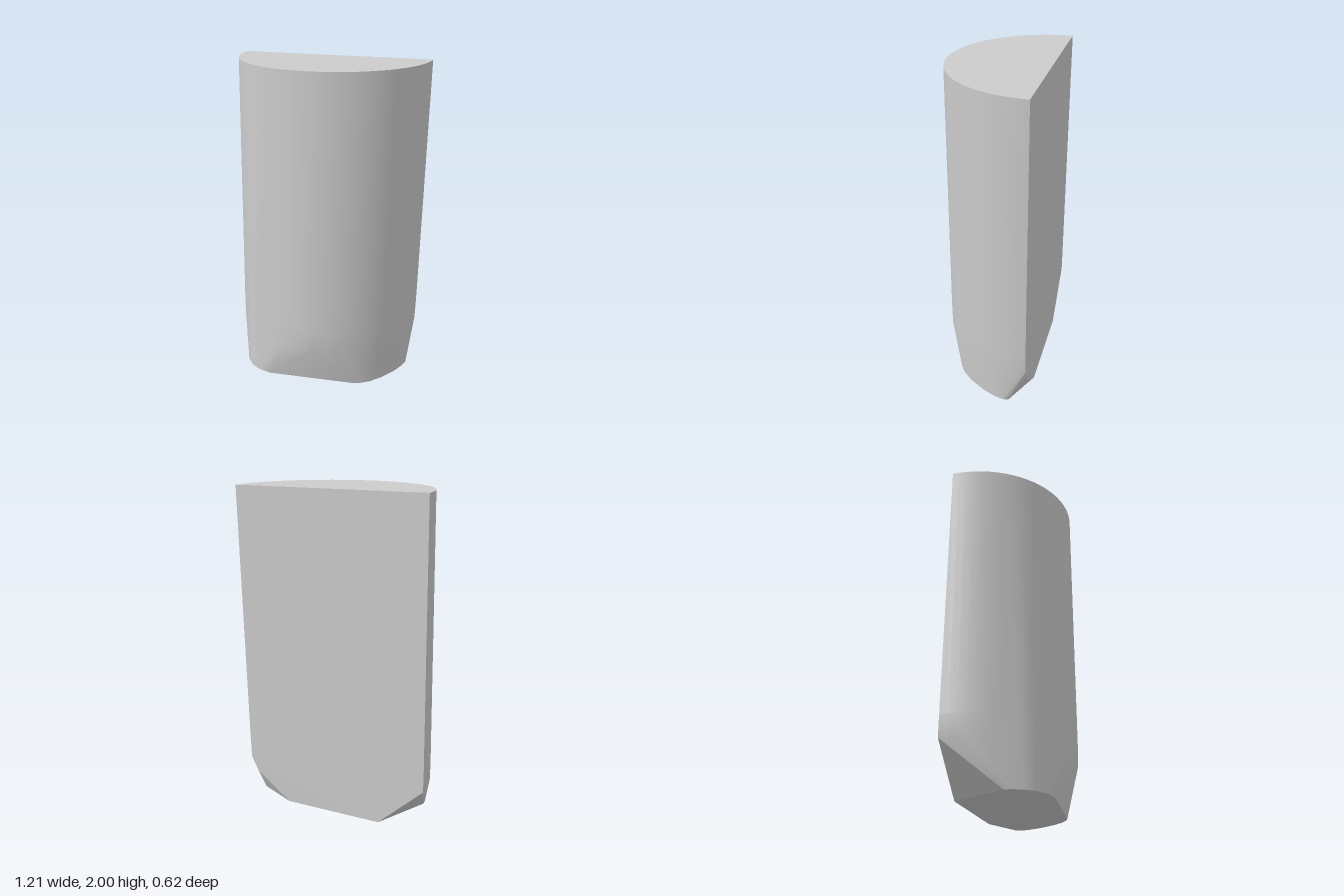
import * as THREE from 'three';
import { ConvexGeometry } from 'three/addons/geometries/ConvexGeometry.js';
import { mergeVertices, toCreasedNormals } from 'three/addons/utils/BufferGeometryUtils.js';

const BACK = -0.31; // plane of the flat back

// Half-round cross-section at height y, ending on the flat back
function halfRound(y, cx, cz, r, segments = 40) {
  const start = Math.asin((BACK - cz) / r);
  const points = [];
  for (let i = 0; i <= segments; i++) {
    const a = start + (Math.PI - 2 * start) * (i / segments);
    const z = i === 0 || i === segments ? BACK : cz + r * Math.sin(a);
    points.push(new THREE.Vector3(cx + r * Math.cos(a), y, z));
  }
  return points;
}

export function createModel() {
  const group = new THREE.Group();
  group.name = 'halfRoundPeg';

  // Foot outline (x, z): three straight cuts joined by rounded corners
  const foot = [
    [-0.32, BACK], [-0.5, 0.02], [-0.497, 0.06], [-0.475, 0.115], [-0.425, 0.175],
    [-0.36, 0.215], [-0.28, 0.235], [0.27, 0.19], [0.32, 0.173], [0.37, 0.14],
    [0.43, 0.075], [0.5, -0.03], [0.535, -0.11], [0.549, -0.165], [0.54, -0.2], [0.3, BACK],
  ].map(([x, z]) => new THREE.Vector3(x, 0, z));

  // Rounded edge of the cut on the back corner (x, y)
  const backCut = [[0.556, 0.23], [0.53, 0.18], [0.47, 0.128]]
    .map(([x, y]) => new THREE.Vector3(x, y, BACK));

  // The solid is convex, so its surface spans the slightly leaning sections
  let geometry = new ConvexGeometry([
    ...halfRound(2, 0.007, -0.295, 0.594),
    ...halfRound(0.4, -0.014, -0.281, 0.591),
    ...halfRound(0.27, -0.016, -0.28, 0.589),
    ...backCut,
    ...foot,
  ]);
  geometry.deleteAttribute('normal');
  geometry = toCreasedNormals(mergeVertices(geometry, 1e-4), 0.45);

  const body = new THREE.Mesh(geometry, new THREE.MeshStandardMaterial({ color: 0xcccccc }));
  body.name = 'body';
  group.add(body);
  return group;
}
